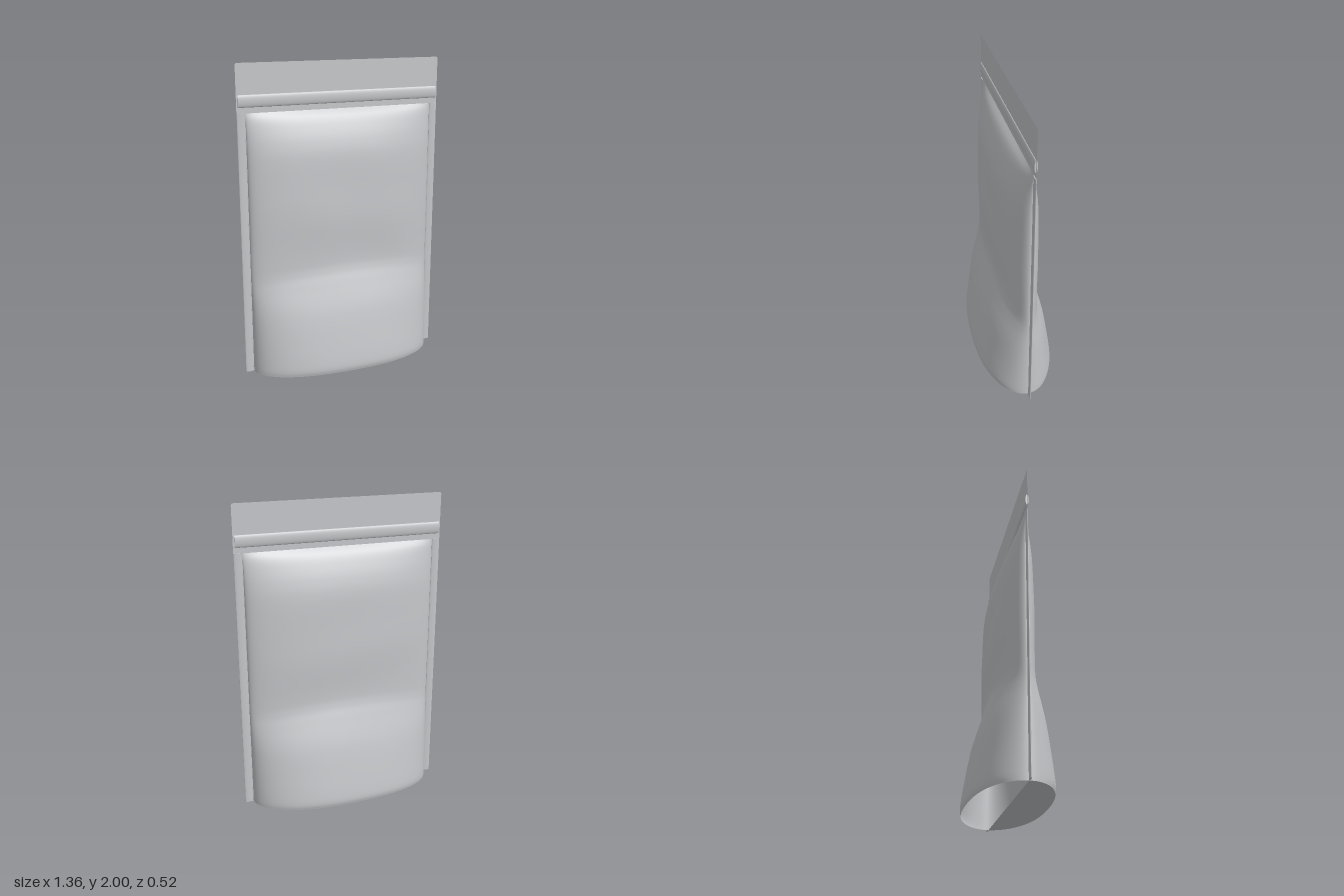
import * as THREE from 'three';

const HALF_W = 0.68, BAG_W = 0.625, BAG_TOP = 1.7, HEIGHT = 2;

// Half depth of the filled bag against height: (depth, y)
const profile = new THREE.SplineCurve([
  [0.251, 0], [0.257, 0.05], [0.235, 0.2], [0.198, 0.4], [0.145, 0.58], [0.12, 0.67], [0.114, 0.76],
  [0.119, 1.0], [0.115, 1.2], [0.106, 1.4], [0.088, 1.51], [0.06, 1.6], [0.033, 1.66], [0, BAG_TOP],
].map(([d, y]) => new THREE.Vector2(d, y)));

// Cross-section: blunt in the middle, closing steeply at the side seals
function bulge(x) {
  const u = Math.min(1, Math.abs(x) / BAG_W);
  return Math.sqrt(1 - u ** 2.4) * (1 + 0.05 * (x / BAG_W) * (1 - u * u));
}

// One filled wall, side = 1 for the front and -1 for the back
function wallGeometry(side) {
  const geo = new THREE.PlaneGeometry(2, 1, 64, 90);
  const pos = geo.attributes.position;
  for (let i = 0; i < pos.count; i++) {
    const x = side * BAG_W * Math.sin(pos.getX(i) * Math.PI / 2);
    const p = profile.getPoint(pos.getY(i) + 0.5);
    const u = x / BAG_W;
    // the lower fold line droops towards the seals
    const y = p.y - 0.05 * u * u * Math.exp(-(((p.y - 0.66) / 0.15) ** 2));
    // soft film wrinkles, fading out at every edge
    const fade = (1 - u * u) * Math.sin(Math.PI * Math.min(1, p.y / BAG_TOP));
    const wrinkle = 0.0025 * fade * Math.sin(7 * x + 9 * y) * Math.cos(5 * y - 4 * x);
    pos.setXYZ(i, x, y, side * (p.x * bulge(x) + wrinkle));
  }
  geo.computeVertexNormals();
  return geo;
}

// Flat sealed film: side strips and top band around the bag
function sealGeometry() {
  const r = 0.015, s = new THREE.Shape();
  s.moveTo(-HALF_W, 0);
  s.lineTo(-BAG_W, 0);
  s.lineTo(-BAG_W, BAG_TOP);
  s.lineTo(BAG_W, BAG_TOP);
  s.lineTo(BAG_W, 0);
  s.lineTo(HALF_W, 0);
  s.lineTo(HALF_W, HEIGHT - r);
  s.quadraticCurveTo(HALF_W, HEIGHT, HALF_W - r, HEIGHT);
  s.lineTo(-HALF_W + r, HEIGHT);
  s.quadraticCurveTo(-HALF_W, HEIGHT, -HALF_W, HEIGHT - r);
  s.closePath();
  return new THREE.ShapeGeometry(s);
}

// Front half of the flat base
function baseGeometry() {
  const pts = [];
  for (let i = 0; i <= 64; i++) {
    const x = BAG_W * Math.sin((i / 32 - 1) * Math.PI / 2);
    pts.push(new THREE.Vector2(x, profile.getPoint(0).x * bulge(x)));
  }
  return new THREE.ShapeGeometry(new THREE.Shape(pts)).rotateX(Math.PI / 2);
}

export function createModel() {
  const group = new THREE.Group();
  group.name = 'pouch';
  const film = new THREE.MeshStandardMaterial({ color: 0xc4c6c9, side: THREE.DoubleSide });
  film.name = 'silver film';
  const add = (name, geo) => {
    const mesh = new THREE.Mesh(geo, film);
    mesh.name = name;
    group.add(mesh);
    return mesh;
  };

  add('frontWall', wallGeometry(1));
  add('backWall', wallGeometry(-1));
  add('sealedEdge', sealGeometry());
  add('base', baseGeometry());

  // Zip closure: a slim lens-shaped rib across the top band
  const zip = new THREE.CylinderGeometry(1, 1, 2 * HALF_W - 0.02, 24);
  zip.rotateZ(Math.PI / 2).scale(1, 0.038, 0.01);
  add('zipClosure', zip).position.y = 1.773;

  // Slightly swollen side seals
  for (const side of [-1, 1]) {
    const rib = new THREE.CylinderGeometry(1, 1, BAG_TOP, 20).scale(0.026, 1, 0.006);
    add(side > 0 ? 'leftSeal' : 'rightSeal', rib).position.set(side * 0.654, BAG_TOP / 2, 0);
  }
  return group;
}
